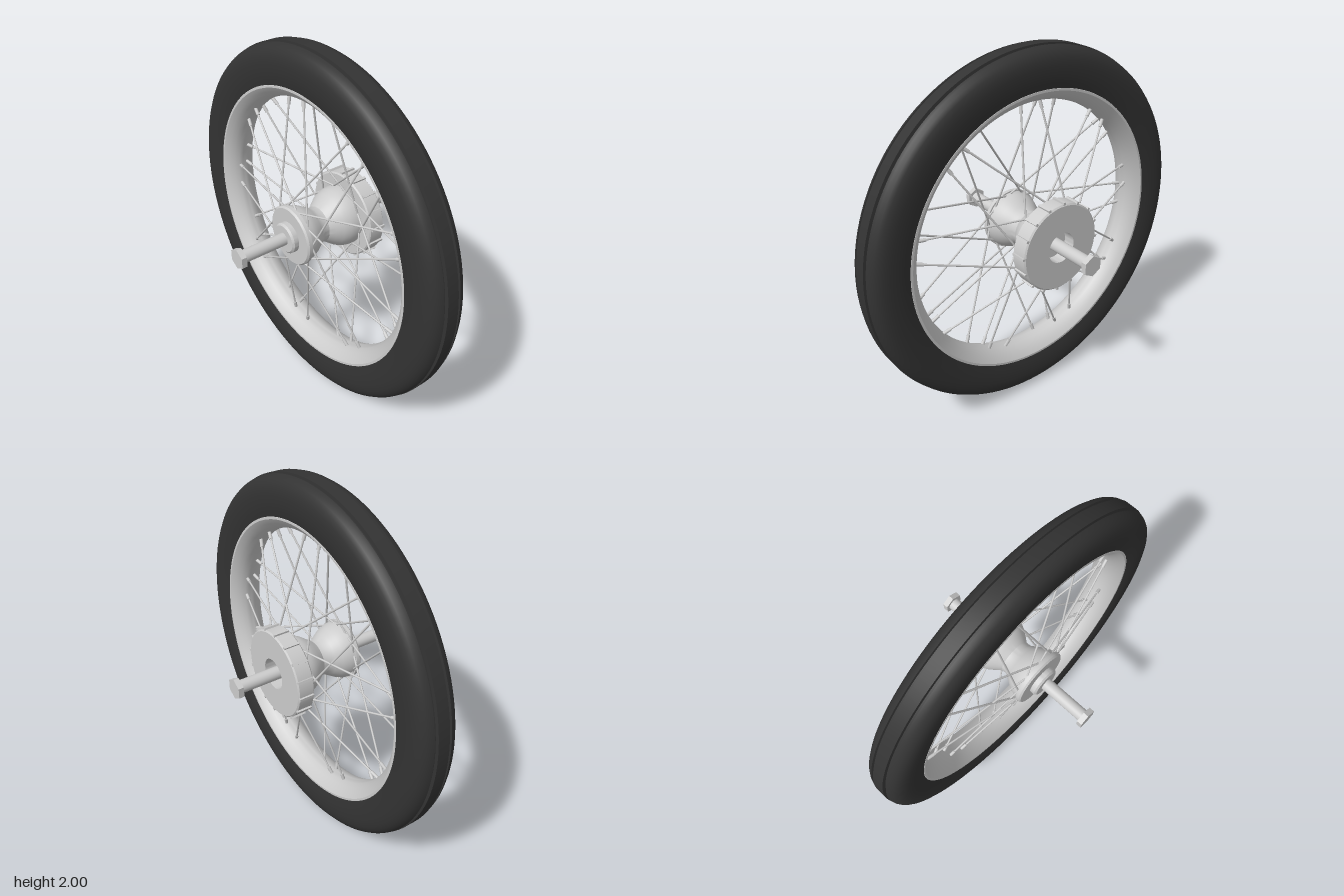
import * as THREE from 'three';
import { toCreasedNormals } from 'three/addons/utils/BufferGeometryUtils.js';

const rubber = new THREE.MeshStandardMaterial({ color: 0x333333 });
rubber.name = 'black rubber';
const metal = new THREE.MeshStandardMaterial({ color: 0xcccccc });
metal.name = 'light metal';

// Turned part about the z axis; profile points are [radius, z], outer side running towards +z
function turned(name, points, material, segments = 64, crease = 0.6) {
  const profile = points.map(([r, z]) => new THREE.Vector2(r, z));
  const geometry = new THREE.LatheGeometry(profile, segments).rotateX(Math.PI / 2);
  const mesh = new THREE.Mesh(toCreasedNormals(geometry, crease), material);
  mesh.name = name;
  return mesh;
}

// Closed profile symmetric in z, from its +z half (outermost point first)
function mirrored(half) {
  const back = half.map(([r, z]) => [r, -z]).reverse();
  return [...back, ...half, back[0]];
}

// Round bar between two points
function rod(name, a, b, radius, sides) {
  const direction = b.clone().sub(a);
  const mesh = new THREE.Mesh(new THREE.CylinderGeometry(radius, radius, direction.length(), sides), metal);
  mesh.position.copy(a).add(b).multiplyScalar(0.5);
  mesh.quaternion.setFromUnitVectors(new THREE.Vector3(0, 1, 0), direction.normalize());
  mesh.name = name;
  return mesh;
}

function polar(radius, degrees, z) {
  const a = THREE.MathUtils.degToRad(degrees);
  return new THREE.Vector3(radius * Math.cos(a), radius * Math.sin(a), z);
}

export function createModel() {
  const model = new THREE.Group();
  model.name = 'spokedWheel';
  const wheel = new THREE.Group();
  wheel.name = 'wheel';
  wheel.position.y = 1;
  model.add(wheel);

  // Tyre with two tread grooves
  wheel.add(turned('tyre', mirrored([
    [1.0, 0.033], [0.983, 0.035], [0.983, 0.047], [0.995, 0.05], [0.99, 0.066], [0.978, 0.085],
    [0.96, 0.099], [0.935, 0.109], [0.9, 0.112], [0.86, 0.111], [0.82, 0.106], [0.78, 0.096],
  ]), rubber, 128));

  // Rim with a dished inner face and a narrow lip
  wheel.add(turned('rim', mirrored([
    [0.8, 0.09], [0.79, 0.1], [0.778, 0.1], [0.77, 0.094], [0.752, 0.078],
    [0.733, 0.056], [0.72, 0.03], [0.715, 0.008],
  ]), metal, 128));

  // Waisted hub shell and front flange
  wheel.add(turned('hubShell', [
    [0.17, -0.18], [0.17, -0.15], [0.164, -0.115], [0.148, -0.08], [0.122, -0.045], [0.1, -0.015],
    [0.1, 0.015], [0.118, 0.045], [0.14, 0.08], [0.155, 0.115], [0.16, 0.15],
  ], metal));
  wheel.add(turned('frontFlange', [
    [0, 0.148], [0.168, 0.148], [0.168, 0.168], [0.16, 0.178], [0, 0.178],
  ], metal));
  wheel.add(turned('frontCollar', [
    [0.086, 0.17], [0.086, 0.205], [0.076, 0.215], [0, 0.215],
  ], metal));

  // Rear drum with a recess around the axle
  wheel.add(turned('rearDrum', [
    [0, -0.205], [0.085, -0.205], [0.085, -0.272], [0.236, -0.272], [0.244, -0.265],
    [0.244, -0.182], [0.237, -0.175], [0, -0.175],
  ], metal));

  // Ribs around the drum
  const ribCount = 16;
  for (let i = 0; i < ribCount; i++) {
    const angle = 360 * i / ribCount + 4;
    const rib = new THREE.Mesh(new THREE.BoxGeometry(0.03, 0.014, 0.085), metal);
    rib.position.copy(polar(0.239, angle, -0.227));
    rib.rotation.z = THREE.MathUtils.degToRad(angle);
    rib.name = 'drumRib';
    wheel.add(rib);
  }

  // Axle with a hexagonal head at each end
  wheel.add(rod('axle', new THREE.Vector3(0, 0, -0.49), new THREE.Vector3(0, 0, 0.49), 0.035, 32));
  for (const side of [-1, 1]) {
    const nut = new THREE.CylinderGeometry(0.058, 0.058, 0.03, 6).rotateX(Math.PI / 2);
    const mesh = new THREE.Mesh(toCreasedNormals(nut, 0.5), metal);
    mesh.position.z = side * 0.491;
    mesh.name = 'axleNut';
    wheel.add(mesh);
  }

  // Crossed spokes: four families, two per flange, repeated nine times
  const spokes = new THREE.Group();
  spokes.name = 'spokes';
  wheel.add(spokes);
  const families = [
    { rim: 5, lean: -55, hub: 0.17, z: -0.165 },
    { rim: 14.5, lean: 55, hub: 0.17, z: -0.165 },
    { rim: 16, lean: -55, hub: 0.15, z: 0.143 },
    { rim: 25.5, lean: 55, hub: 0.15, z: 0.143 },
  ];
  for (let i = 0; i < 9; i++) {
    for (const { rim, lean, hub, z } of families) {
      const outer = polar(0.725, rim + 40 * i, Math.sign(z) * 0.02);
      const inner = polar(hub, rim + lean + 40 * i, z);
      spokes.add(rod('spoke', inner, outer, 0.0055, 8));
      const nippleEnd = outer.clone().lerp(inner, 0.075);
      spokes.add(rod('spokeNipple', nippleEnd, outer, 0.0095, 10));
    }
  }
  return model;
}
